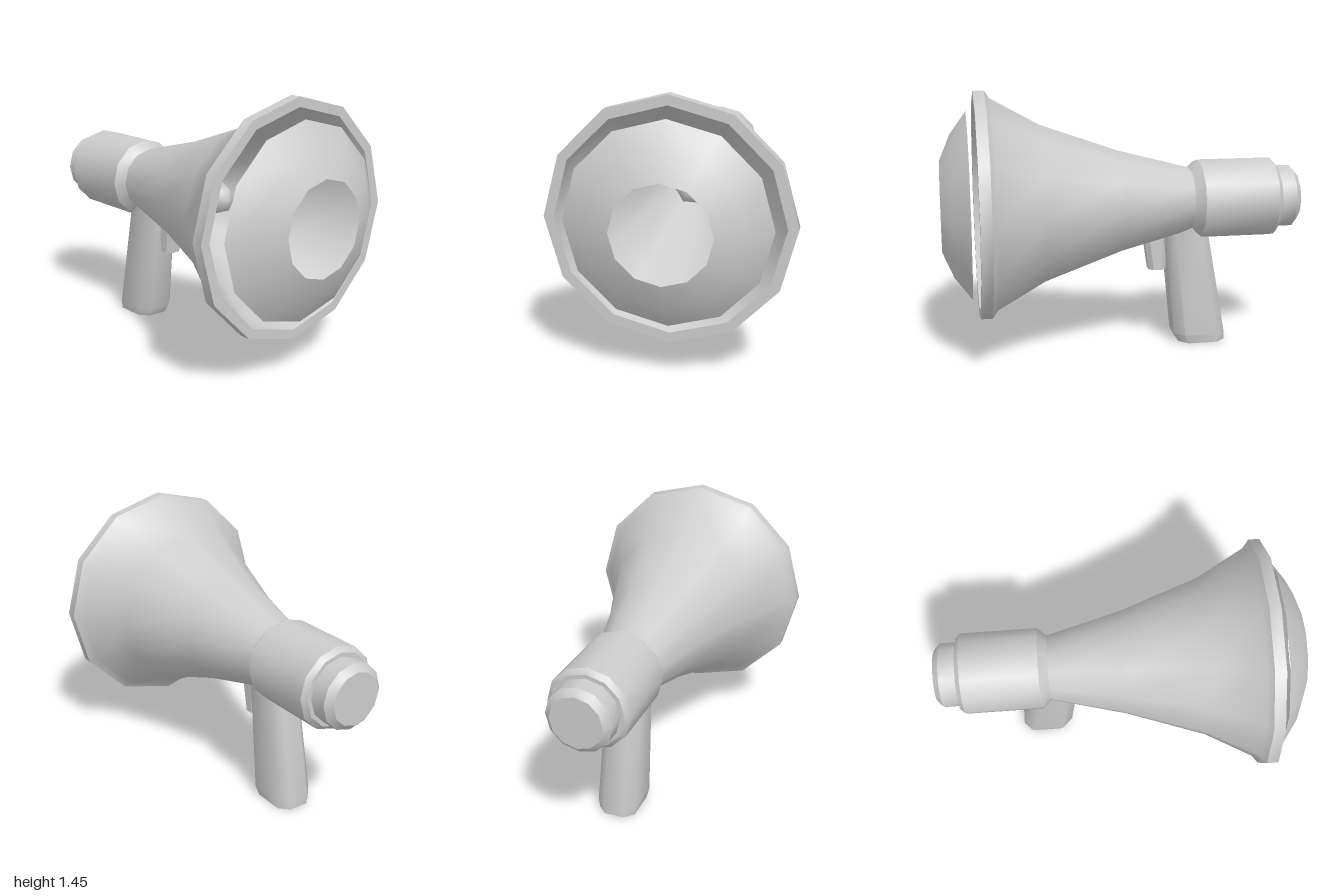
import * as THREE from 'three';
import { toCreasedNormals } from 'three/addons/utils/BufferGeometryUtils.js';

const AXIS_Y = 0.825; // height of the horn's axis

// Turned part along z: profile of [radius, z], running so that the outside faces out
function turned(profile, sides, crease, phiStart = 0) {
  const g = new THREE.LatheGeometry(profile.map(([r, z]) => new THREE.Vector2(r, z)), sides, phiStart);
  g.rotateX(Math.PI / 2);
  g.translate(0, AXIS_Y, 0);
  return toCreasedNormals(g, crease);
}

// Upright part with cut corners: rings of { y, back, front, half (width), cut }
function loft(rings, crease) {
  const pos = [], index = [];
  for (const { y, back, front, half: h, cut: c } of rings) {
    const corners = [
      [h, front - c], [h, back + c], [h - c, back], [c - h, back],
      [-h, back + c], [-h, front - c], [c - h, front], [h - c, front],
    ];
    for (const [x, z] of corners) pos.push(x, y, z);
  }
  const last = (rings.length - 1) * 8;
  for (let k = 0; k < last; k += 8) {
    for (let i = 0; i < 8; i++) {
      const a = k + i, b = k + (i + 1) % 8;
      index.push(a, b, b + 8, a, b + 8, a + 8);
    }
  }
  for (let i = 1; i < 7; i++) {
    index.push(0, i + 1, i, last, last + i, last + i + 1);
  }
  const g = new THREE.BufferGeometry();
  g.setAttribute('position', new THREE.Float32BufferAttribute(pos, 3));
  g.setIndex(index);
  return toCreasedNormals(g, crease);
}

export function createModel() {
  const group = new THREE.Group();
  const grey = new THREE.MeshStandardMaterial({ color: 0xcccccc, side: THREE.DoubleSide });
  grey.name = 'light grey';
  const add = (name, geometry) => {
    const mesh = new THREE.Mesh(geometry, grey);
    mesh.name = name;
    group.add(mesh);
  };

  // Flared horn: outer wall, rim, inner wall and throat disc
  add('horn', turned([
    [0.178, -0.39], [0.288, 0.03], [0.44, 0.46], [0.585, 0.72], [0.627, 0.75], [0.627, 0.81],
    [0.575, 0.81], [0.54, 0.72], [0.4, 0.46], [0.25, 0.03], [0.195, -0.1], [0, -0.1],
  ], 12, 0.6));

  // Rear barrel with stepped end cap
  add('barrel', turned([
    [0, -1], [0.142, -1], [0.178, -0.967], [0.178, -0.875], [0.2, -0.875],
    [0.225, -0.85], [0.225, -0.43], [0.18, -0.38], [0, -0.38],
  ], 12, 0.6));

  // Open ring-shaped dish floating in front of the rim
  add('reflectorDish', turned([[0.52, 0.85], [0.397, 0.94], [0.253, 1]], 12, 0.7));

  // Six-sided rounded pin in the throat
  add('throatPin', turned([
    [0.095, -0.1], [0.095, 0.2], [0.07, 0.27], [0, 0.31],
  ], 6, 1.1, Math.PI / 2));

  // Raked grip with a chamfered foot
  add('handle', loft([
    { y: 0, back: -0.59, front: -0.32, half: 0.104, cut: 0.05 },
    { y: 0.05, back: -0.588, front: -0.292, half: 0.113, cut: 0.055 },
    { y: 0.7, back: -0.474, front: -0.225, half: 0.1, cut: 0.05 },
  ], 0.85));

  add('trigger', loft([
    { y: 0.43, back: -0.245, front: -0.148, half: 0.05, cut: 0.025 },
    { y: 0.62, back: -0.245, front: -0.12, half: 0.055, cut: 0.025 },
  ], 0.6));

  return group;
}
